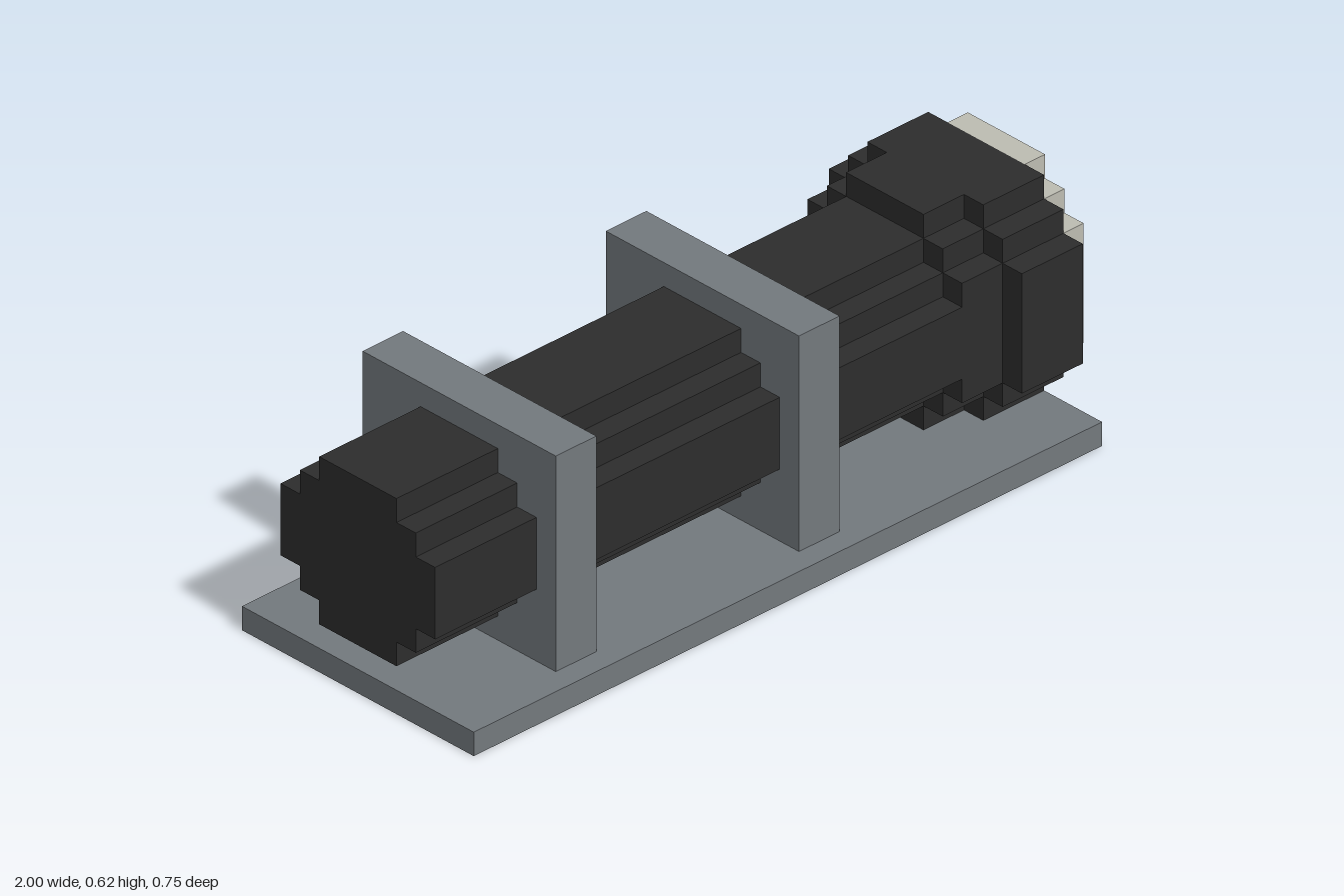
import * as THREE from 'three';

const U = 1 / 16; // grid step all parts are built on

const dark = new THREE.MeshStandardMaterial({ color: 0x2d2d2d });
dark.name = 'darkCasing';
const grey = new THREE.MeshStandardMaterial({ color: 0x73797d });
grey.name = 'greyMetal';
const pale = new THREE.MeshStandardMaterial({ color: 0xbdbcb2 });
pale.name = 'paleLens';

// Box spanning x0..x1, y0..y1 and -halfZ..halfZ, in grid steps
function block(name, material, x0, x1, y0, y1, halfZ) {
  const geometry = new THREE.BoxGeometry((x1 - x0) * U, (y1 - y0) * U, 2 * halfZ * U);
  geometry.translate((x0 + x1) / 2 * U, (y0 + y1) / 2 * U, 0);
  const mesh = new THREE.Mesh(geometry, material);
  mesh.name = name;
  return mesh;
}

// Stepped octagonal prism along x; each corner is cut by two one-unit steps
function steppedPrism(name, material, x0, x1, y0, y1, halfZ) {
  const midY = (y0 + y1) / 2, h = (y1 - y0) / 2, w = halfZ;
  const quarter = [[w, h - 2], [w - 1, h - 2], [w - 1, h - 1], [w - 2, h - 1], [w - 2, h]];
  const flipped = [...quarter].reverse();
  const outline = [
    ...quarter,
    ...flipped.map(([a, b]) => [-a, b]),
    ...quarter.map(([a, b]) => [-a, -b]),
    ...flipped.map(([a, b]) => [a, -b]),
  ];
  const shape = new THREE.Shape(outline.map(([a, b]) => new THREE.Vector2(a * U, (b + midY) * U)));
  const geometry = new THREE.ExtrudeGeometry(shape, { depth: (x1 - x0) * U, bevelEnabled: false });
  geometry.rotateY(Math.PI / 2).translate(x0 * U, 0, 0);
  const mesh = new THREE.Mesh(geometry, material);
  mesh.name = name;
  return mesh;
}

export function createModel() {
  const model = new THREE.Group();
  model.name = 'mountedTube';

  // Mounting plate and the two brackets
  model.add(block('basePlate', grey, -16, 15, 0, 1, 6));
  model.add(block('rearBracket', grey, -11, -9, 1, 10, 5));
  model.add(block('frontBracket', grey, 1, 3, 1, 10, 5));

  // Barrel widening in two stages to the head, closed by the lens
  model.add(steppedPrism('barrel', dark, -16, 10, 2, 9, 4));
  model.add(steppedPrism('headCollar', dark, 10, 12, 1, 10, 4));
  const head = steppedPrism('head', dark, 12, 15, 1, 10, 5);
  model.add(head);
  model.add(steppedPrism('lens', pale, 15, 16, 1, 10, 4));

  return model;
}
